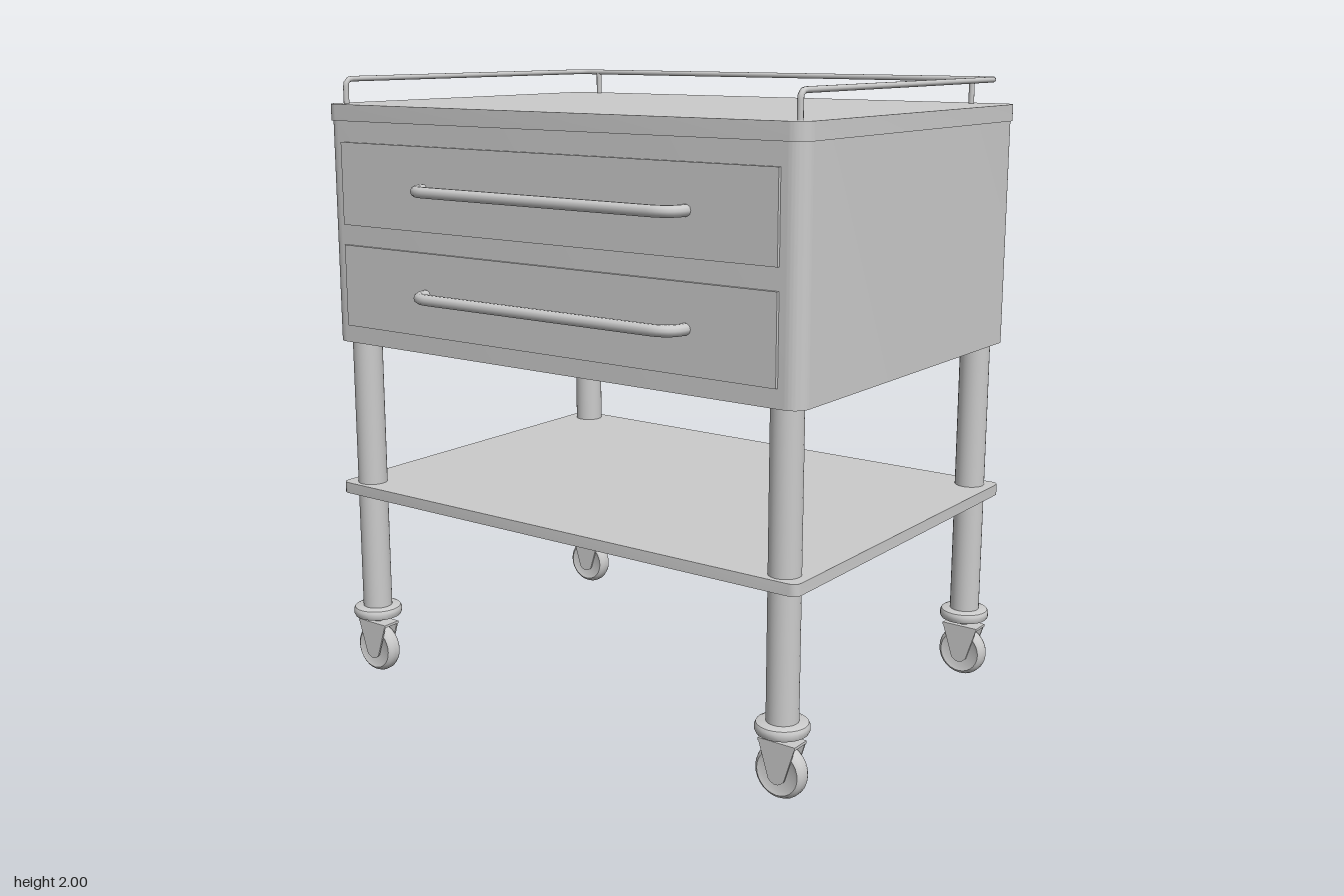
import * as THREE from 'three';
import { toCreasedNormals } from 'three/addons/utils/BufferGeometryUtils.js';

const material = new THREE.MeshStandardMaterial({ color: 0xcccccc });
const CENTER_X = 0.035; // cabinet sits off centre because the handles project to -x

function add(parent, name, geometry, x = 0, y = 0, z = 0) {
  const mesh = new THREE.Mesh(geometry, material);
  mesh.name = name;
  mesh.position.set(x, y, z);
  parent.add(mesh);
  return mesh;
}

// Upright slab with rounded vertical corners, standing on y = 0
function roundedSlab(width, height, depth, r, segments = 8) {
  const w = width / 2, d = depth / 2, q = Math.PI / 2;
  const shape = new THREE.Shape();
  shape.absarc(w - r, d - r, r, 0, q);
  shape.absarc(-w + r, d - r, r, q, 2 * q);
  shape.absarc(-w + r, -d + r, r, 2 * q, 3 * q);
  shape.absarc(w - r, -d + r, r, 3 * q, 4 * q);
  const geo = new THREE.ExtrudeGeometry(shape, { depth: height, bevelEnabled: false, curveSegments: segments });
  geo.rotateX(-Math.PI / 2);
  return toCreasedNormals(geo, 0.6);
}

// Tube through corner points, with every inner corner rounded off
function bentTube(points, bend, radius, segments) {
  const p = points.map((a) => new THREE.Vector3(...a));
  const path = new THREE.CurvePath();
  let from = p[0];
  for (let i = 1; i < p.length - 1; i++) {
    const a = p[i].clone().add(p[i - 1].clone().sub(p[i]).setLength(bend[i - 1]));
    const b = p[i].clone().add(p[i + 1].clone().sub(p[i]).setLength(bend[i - 1]));
    path.add(new THREE.LineCurve3(from, a));
    path.add(new THREE.QuadraticBezierCurve3(a, p[i], b));
    from = b;
  }
  path.add(new THREE.LineCurve3(from, p[p.length - 1]));
  return new THREE.TubeGeometry(path, segments, radius, 10, false);
}

function lathe(points, segments = 28) {
  const geo = new THREE.LatheGeometry(points.map(([r, y]) => new THREE.Vector2(r, y)), segments);
  return toCreasedNormals(geo, 0.7);
}

function createCaster() {
  const caster = new THREE.Group();
  caster.name = 'caster';
  // Rounded bumper collar around the foot of the leg
  add(caster, 'collar', lathe([
    [0, 0.197], [0.066, 0.197], [0.076, 0.201], [0.08, 0.209], [0.08, 0.223],
    [0.076, 0.231], [0.066, 0.235], [0, 0.235],
  ]));
  add(caster, 'swivelStem', new THREE.CylinderGeometry(0.016, 0.016, 0.04, 14), 0, 0.185, 0);

  // Wheel with a rounded tread, axle along x
  const wheel = lathe([
    [0, -0.021], [0.055, -0.021], [0.068, -0.026], [0.077, -0.019], [0.082, -0.008],
    [0.082, 0.008], [0.077, 0.019], [0.068, 0.026], [0.055, 0.021], [0, 0.021],
  ]);
  wheel.rotateZ(Math.PI / 2);
  add(caster, 'wheel', wheel, 0, 0.082, 0);

  // Fork: two tapered cheeks joined by a top plate
  const cheek = new THREE.Shape();
  cheek.moveTo(-0.062, 0.176);
  cheek.lineTo(-0.026, 0.062);
  cheek.quadraticCurveTo(0, 0.034, 0.026, 0.062);
  cheek.lineTo(0.062, 0.176);
  for (const side of [-1, 1]) {
    const geo = new THREE.ExtrudeGeometry(cheek, { depth: 0.006, bevelEnabled: false, curveSegments: 8 });
    geo.translate(0, 0, -0.003);
    geo.rotateY(Math.PI / 2);
    add(caster, 'forkCheek', geo, side * 0.029, 0, 0);
  }
  add(caster, 'forkPlate', new THREE.BoxGeometry(0.064, 0.008, 0.124), 0, 0.173, 0);
  return caster;
}

export function createModel() {
  const cart = new THREE.Group();
  cart.name = 'drawerCart';

  // Cabinet, lid and lower shelf
  add(cart, 'cabinet', roundedSlab(1.28, 0.715, 1.78, 0.05), CENTER_X, 1.15, 0);
  add(cart, 'lid', roundedSlab(1.292, 0.052, 1.792, 0.055), CENTER_X, 1.862, 0);
  add(cart, 'shelf', roundedSlab(1.28, 0.036, 1.78, 0.025, 2), CENTER_X, 0.632, 0);

  // Legs with casters
  for (const x of [-0.54, 0.612]) {
    for (const z of [-0.812, 0.812]) {
      add(cart, 'leg', new THREE.CylinderGeometry(0.048, 0.048, 0.93, 28), x, 0.69, z);
      const caster = createCaster();
      caster.position.set(x, 0, z);
      cart.add(caster);
    }
  }

  // Two drawers with bow handles on the -x side
  for (const [y, handleY] of [[1.665, 1.665], [1.338, 1.338]]) {
    const drawer = new THREE.Group();
    drawer.name = 'drawer';
    add(drawer, 'drawerFront', new THREE.BoxGeometry(0.02, 0.262, 1.64), -0.605, y, 0);
    const handle = bentTube([
      [-0.605, handleY, -0.464], [-0.682, handleY, -0.464],
      [-0.682, handleY, 0.524], [-0.605, handleY, 0.524],
    ], [0.072, 0.072], 0.0175, 80);
    add(drawer, 'handle', handle);
    cart.add(drawer);
  }

  // Guard rail around three sides of the lid, open above the drawers
  const rail = bentTube([
    [-0.558, 1.91, -0.847], [-0.558, 1.991, -0.847], [0.624, 1.991, -0.847],
    [0.624, 1.991, 0.847], [-0.558, 1.991, 0.847], [-0.558, 1.91, 0.847],
  ], [0.025, 0.05, 0.05, 0.025], 0.009, 300);
  add(cart, 'guardRail', rail);
  for (const z of [-0.758, 0.758]) {
    add(cart, 'railPost', new THREE.CylinderGeometry(0.009, 0.009, 0.08, 10), 0.624, 1.951, z);
  }
  return cart;
}
